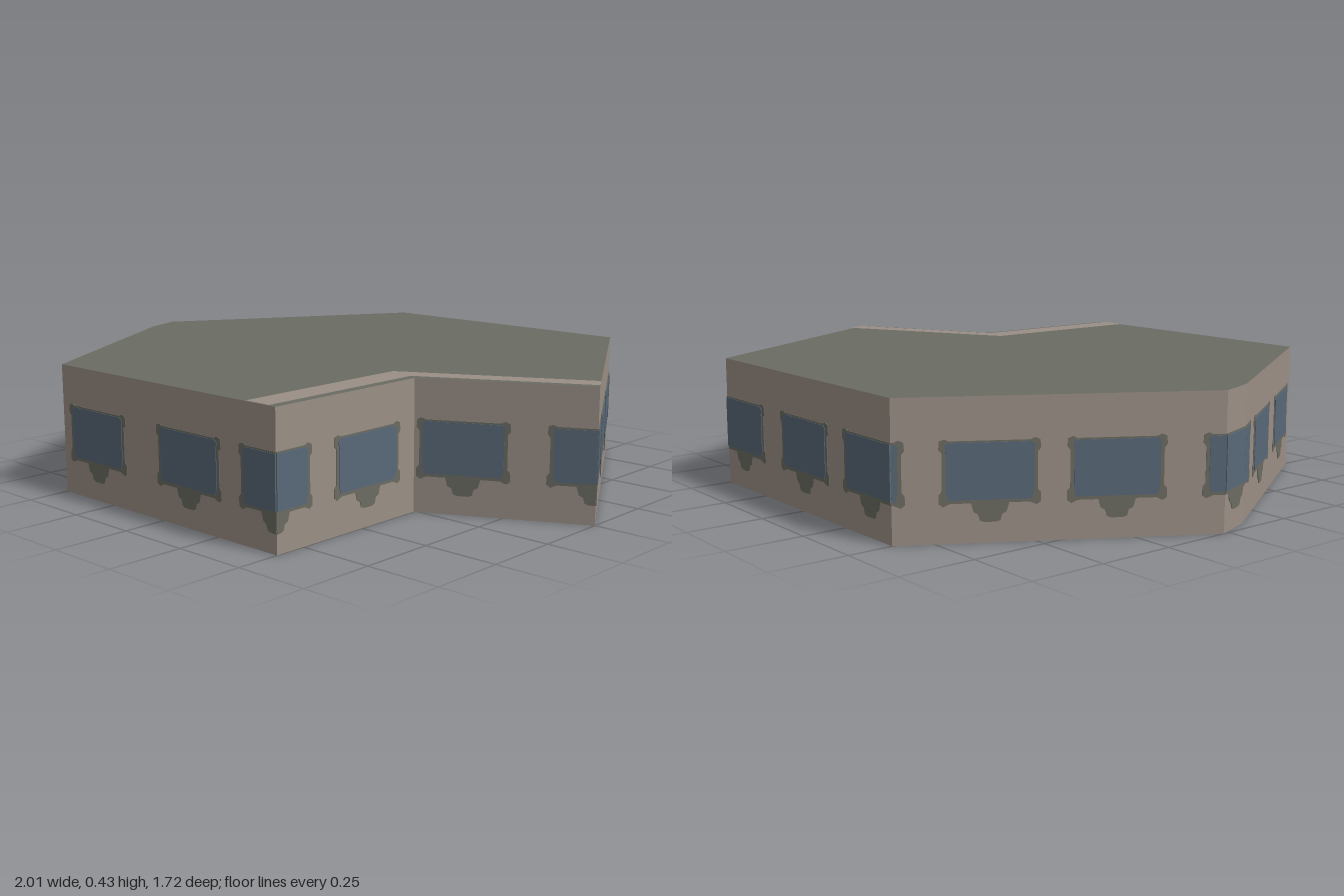
import * as THREE from 'three';

const H = 0.428;
// Footprint corners [x, z], running left to right as seen from outside
const PLAN = [[-0.5, 0.855], [0.5, 0.855], [0.5, 0.26], [1, 0],
  [0.5, -0.855], [-0.5, -0.855], [-1, -0.02], [-0.955, 0.11]];
// Window centres as distances along the perimeter from the first corner
const WINDOWS = [0.18, 0.625, 0.995, 1.38, 1.75, 2.155, 2.525, 2.905,
  3.265, 3.665, 4.04, 4.43, 4.8, 5.2, 5.553, 5.943];

// Right halves of the window outlines [offset, height], top to bottom
const FRAME = [[0.118, 0.3], [0.13, 0.306], [0.145, 0.3], [0.147, 0.275], [0.138, 0.265],
  [0.138, 0.155], [0.147, 0.145], [0.147, 0.118], [0.135, 0.109], [0.115, 0.118],
  [0.055, 0.118], [0.048, 0.092], [0.035, 0.085], [0.03, 0.067], [0.018, 0.062]];
const GLASS = [[0.12, 0.295], [0.13, 0.287], [0.127, 0.27], [0.127, 0.15],
  [0.12, 0.128]];

const mat = (name, color, side = THREE.FrontSide) => {
  const m = new THREE.MeshStandardMaterial({ color, side });
  m.name = name;
  return m;
};

const mirrored = (half) => [...half, ...half.map(([x, y]) => [-x, y]).reverse()];

// Keep the part of a polygon where sign * x <= sign * limit
function cut(points, limit, sign) {
  const out = [];
  points.forEach((p, i) => {
    const q = points[(i + 1) % points.length];
    const a = sign * (limit - p[0]), b = sign * (limit - q[0]);
    if (a >= 0) out.push(p);
    if (a * b < 0) {
      const t = a / (a - b);
      out.push([limit, p[1] + (q[1] - p[1]) * t]);
    }
  });
  return out;
}

const toShape = (points) => new THREE.Shape(points.map(([x, y]) => new THREE.Vector2(x, y)));

// Plate centred on the wall so it shows on both faces
function plate(points, thickness, material, name) {
  const geo = new THREE.ExtrudeGeometry(toShape(points), { depth: thickness, bevelEnabled: false });
  geo.translate(0, 0, -thickness / 2);
  const mesh = new THREE.Mesh(geo, material);
  mesh.name = name;
  return mesh;
}

// Flat horizontal sheet from [x, z] points
function sheet(points, y, material, name) {
  const mesh = new THREE.Mesh(new THREE.ShapeGeometry(toShape(points.map(([x, z]) => [x, -z]))), material);
  mesh.rotation.x = -Math.PI / 2;
  mesh.position.y = y;
  mesh.name = name;
  return mesh;
}

export function createModel() {
  const model = new THREE.Group();
  model.name = 'building';
  const stone = mat('stone', 0x9a8f85, THREE.DoubleSide);
  const roofGrey = mat('roofGrey', 0x6a6b63, THREE.DoubleSide);
  const frameGrey = mat('frameGrey', 0x6b6b62);
  const glassBlue = mat('glassBlue', 0x586877);

  // Walls, with windows that carry on around the corners
  let start = 0;
  PLAN.forEach(([x, z], i) => {
    const [nx, nz] = PLAN[(i + 1) % PLAN.length];
    const length = Math.hypot(nx - x, nz - z);
    const wall = new THREE.Group();
    wall.name = 'wall' + (i + 1);
    wall.position.set(x, 0, z);
    wall.rotation.y = Math.atan2(z - nz, nx - x);

    const panel = new THREE.Mesh(new THREE.PlaneGeometry(length, H), stone);
    panel.position.set(length / 2, H / 2, 0);
    panel.name = 'wallPanel';
    wall.add(panel);

    for (const centre of WINDOWS) {
      const local = centre - start;
      const addPart = (half, thickness, material, name) => {
        const placed = mirrored(half).map(([px, py]) => [px + local, py]);
        const visible = cut(cut(placed, length, 1), 0, -1);
        if (visible.length > 2) wall.add(plate(visible, thickness, material, name));
      };
      addPart(FRAME, 0.004, frameGrey, 'windowFrame');
      addPart(GLASS, 0.008, glassBlue, 'windowGlass');
    }
    model.add(wall);
    start += length;
  });

  // Flat roof, and the pale strip along the notch
  model.add(sheet(PLAN, H, roofGrey, 'roof'));
  model.add(sheet([[0.38, 0.855], [0.38, 0.225], [0.955, -0.077], [0.99, -0.017],
    [0.475, 0.25], [0.475, 0.855]], H + 0.002, stone, 'roofStrip'));
  return model;
}
